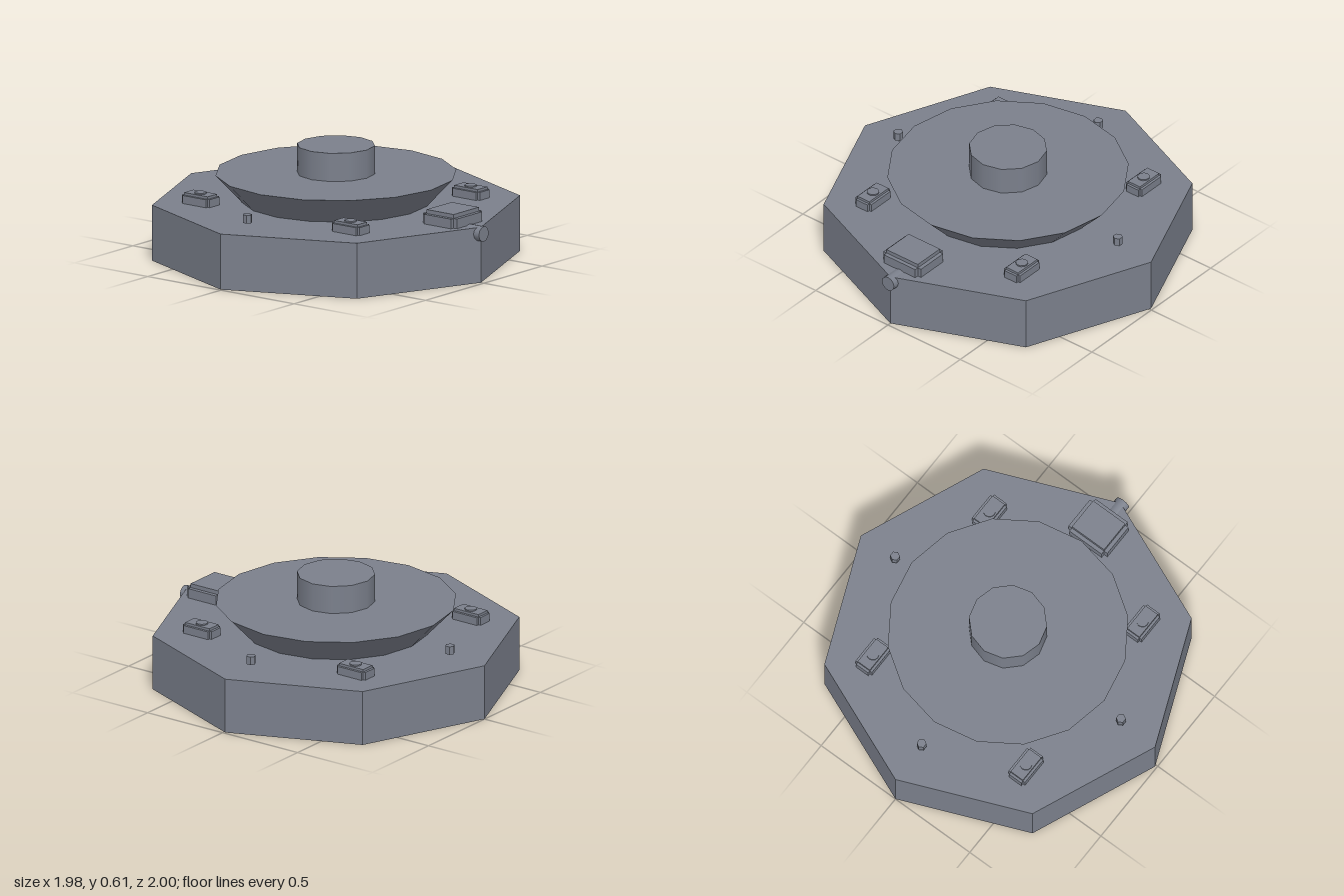
import * as THREE from 'three';

const CZ = -0.01; // centre line of the round parts

export function createModel() {
  const model = new THREE.Group();
  const color = 0x7b808c;
  const smooth = new THREE.MeshStandardMaterial({ color });
  const flat = new THREE.MeshStandardMaterial({ color, flatShading: true });

  const add = (name, geometry, material, x, y, z, parent = model) => {
    const mesh = new THREE.Mesh(geometry, material);
    mesh.name = name;
    mesh.position.set(x, y, z);
    parent.add(mesh);
    return mesh;
  };

  // Cylinder or cone placed by its bottom and top heights
  const drum = (name, rTop, rBottom, y0, y1, sides, material, x = 0, z = CZ) =>
    add(name, new THREE.CylinderGeometry(rTop, rBottom, y1 - y0, sides), material, x, (y0 + y1) / 2, z);

  // Block with stepped edges: three crossing boxes, each inset by b on two axes
  const steppedBlock = (name, w, h, d, b, x, y, z) => {
    const block = new THREE.Group();
    block.name = name;
    block.position.set(x, y, z);
    const i = 2 * b;
    for (const size of [[w, h - i, d - i], [w - i, h, d - i], [w - i, h - i, d]]) {
      add(name + 'Layer', new THREE.BoxGeometry(...size), flat, 0, 0, 0, block);
    }
    model.add(block);
  };

  // Octagonal base, flared dish and central hub
  drum('base', 0.99, 0.99, 0, 0.305, 8, flat);
  drum('dish', 0.648, 0.5, 0.3, 0.457, 16, smooth);
  drum('hub', 0.21, 0.21, 0.45, 0.612, 12, smooth);

  // Four corner blocks, each with a low disc on top
  for (const x of [-0.515, 0.515]) for (const z of [-0.525, 0.5]) {
    steppedBlock('cornerBlock', 0.11, 0.11, 0.19, 0.014, x, 0.308, z);
    drum('cornerDisc', 0.033, 0.033, 0.35, 0.37, 12, smooth, x, z);
  }

  // Large block at the front
  steppedBlock('frontBlock', 0.26, 0.15, 0.23, 0.022, 0, 0.305, 0.787);

  // Small raised studs on three sides
  for (const [x, z] of [[-0.76, CZ], [0.76, CZ], [0, -0.77]]) {
    drum('stud', 0.026, 0.026, 0.325, 0.37, 6, flat, x, z);
  }

  // Round knob on the front corner
  const knob = drum('frontKnob', 0.042, 0.042, 0, 0.1, 12, smooth, 0, 0.95);
  knob.position.y = 0.27;
  knob.rotation.x = Math.PI / 2;

  return model;
}
